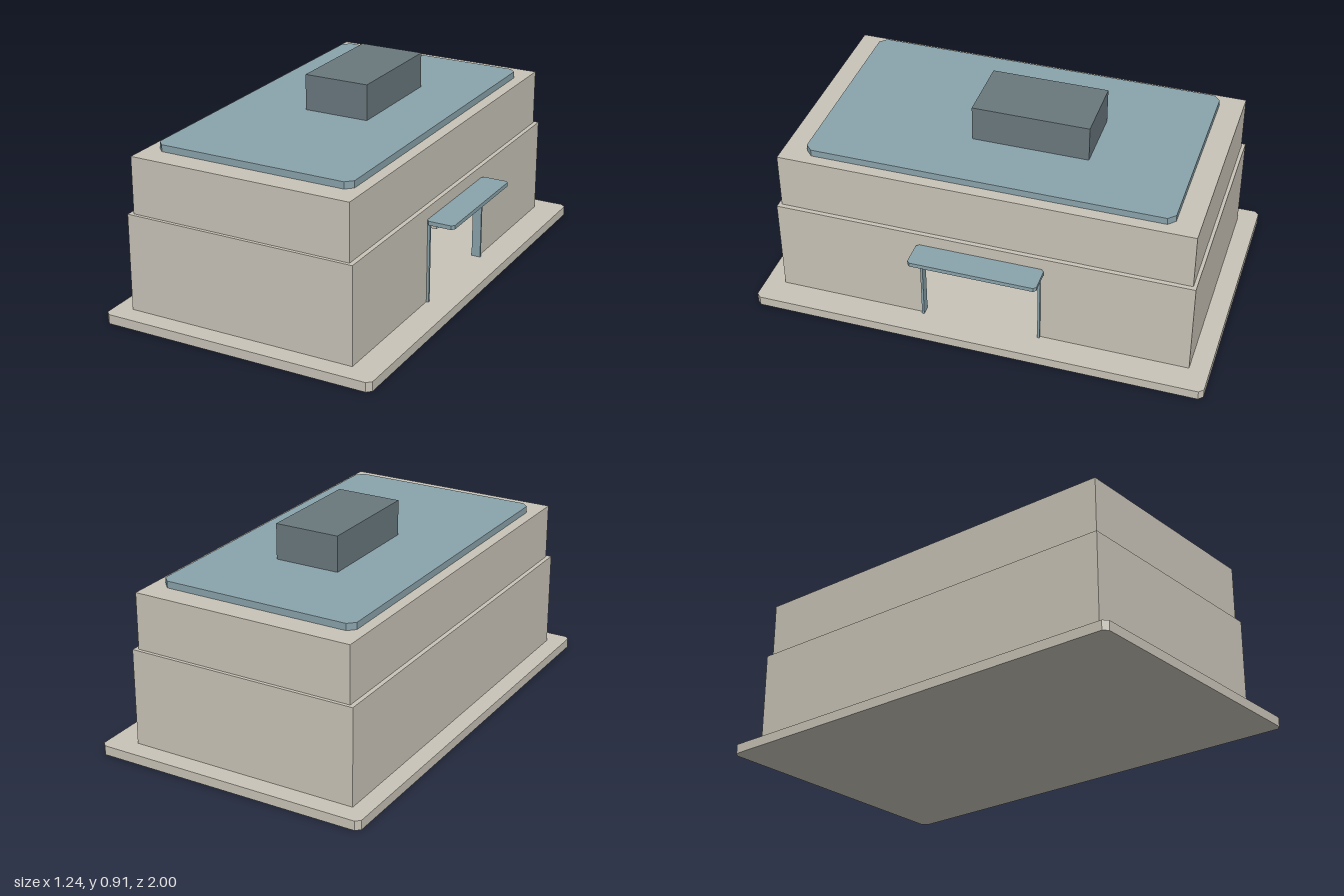
import * as THREE from 'three';

const mat = (name, color) => Object.assign(new THREE.MeshStandardMaterial({ color }), { name });

export function createModel() {
  const model = new THREE.Group();
  model.name = 'building';
  const stone = mat('warm stone', 0xc9c4b8);
  const blue = mat('slate blue', 0x8aa3ab);
  const dark = mat('dark slate', 0x69787d);

  const add = (name, geometry, material) => {
    const mesh = new THREE.Mesh(geometry, material);
    mesh.name = name;
    model.add(mesh);
  };
  // Box given by its limits on each axis
  const box = (name, material, x0, x1, y0, y1, z0, z1) => {
    const g = new THREE.BoxGeometry(x1 - x0, y1 - y0, z1 - z0);
    g.translate((x0 + x1) / 2, (y0 + y1) / 2, (z0 + z1) / 2);
    add(name, g, material);
  };
  // Flat slab with cut corners, symmetric in z
  const slab = (name, material, x0, x1, y0, y1, z, c) => {
    const shape = new THREE.Shape([
      [x0 + c, -z], [x1 - c, -z], [x1, -z + c], [x1, z - c],
      [x1 - c, z], [x0 + c, z], [x0, z - c], [x0, -z + c],
    ].map(p => new THREE.Vector2(...p)));
    const g = new THREE.ExtrudeGeometry(shape, { depth: y1 - y0, bevelEnabled: false });
    g.rotateX(-Math.PI / 2).translate(0, y0, 0);
    add(name, g, material);
  };

  const floor = 0.042, ledge = 0.472, roof = 0.722, deck = 0.752;
  const left = -0.543, right = 0.497, half = 0.913, thick = 0.03;
  const inner = right - thick, doorHalf = 0.265, doorTop = 0.4;

  // Ground slab
  slab('baseSlab', stone, -0.622, 0.622, 0, floor, 1, 0.02);

  // Hollow lower storey
  box('lowerFrontWall', stone, left, inner, floor, ledge, half - thick, half);
  box('lowerBackWall', stone, left, inner, floor, ledge, -half, -half + thick);
  box('lowerPlainWall', stone, left, left + thick, floor, ledge, -half + thick, half - thick);

  // Wall notched for the doorway
  const wall = new THREE.Shape([
    [-half, floor], [-doorHalf, floor], [-doorHalf, doorTop], [doorHalf, doorTop],
    [doorHalf, floor], [half, floor], [half, ledge], [-half, ledge],
  ].map(p => new THREE.Vector2(...p)));
  const wallGeometry = new THREE.ExtrudeGeometry(wall, { depth: thick, bevelEnabled: false });
  wallGeometry.rotateY(Math.PI / 2).translate(inner, 0, 0);
  add('doorwayWall', wallGeometry, stone);

  // Doorway jambs, lintel and canopy
  for (const s of [-1, 1]) {
    const a = s * (doorHalf - 0.01), b = s * doorHalf;
    box('doorJamb', blue, inner, 0.508, floor, doorTop, Math.min(a, b), Math.max(a, b));
  }
  box('doorLintel', stone, inner, 0.533, 0.378, doorTop, -0.255, 0.255);
  slab('doorCanopy', blue, right, 0.622, doorTop, 0.418, 0.28, 0.012);

  // Upper storey, roof deck and rooftop unit
  box('upperStorey', stone, -0.523, 0.477, ledge, roof, -0.898, 0.898);
  slab('roofDeck', blue, -0.474, 0.426, roof, deck, 0.794, 0.03);
  box('rooftopUnit', dark, -0.148, 0.147, deck, 0.91, -0.365, 0.145);

  return model;
}
